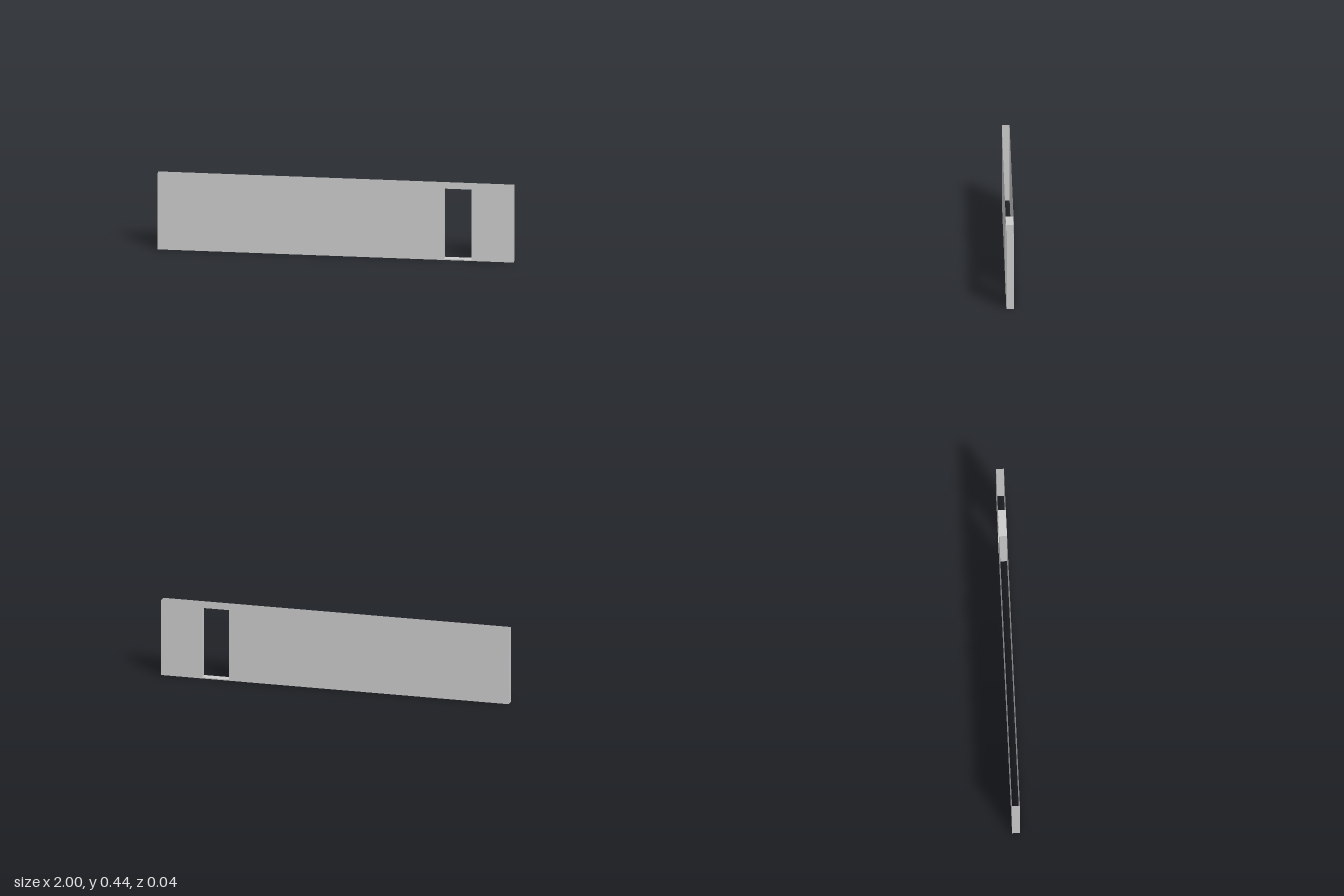
import * as THREE from 'three';

const HEIGHT = 0.44, HALF_DEPTH = 0.022;
const DOOR = { left: 0.61, right: 0.765, bottom: 0.006, top: 0.415 };

export function createModel() {
  const group = new THREE.Group();
  const material = new THREE.MeshStandardMaterial({ color: 0xcccccc, side: THREE.DoubleSide, flatShading: true });
  const add = (name, geometry) => {
    const mesh = new THREE.Mesh(geometry, material);
    mesh.name = name;
    group.add(mesh);
    return mesh;
  };

  // Wall outline with the doorway cut out
  const outline = new THREE.Shape([[-1, 0], [1, 0], [1, HEIGHT], [-1, HEIGHT]].map(p => new THREE.Vector2(...p)));
  outline.holes.push(new THREE.Path([
    [DOOR.left, DOOR.bottom], [DOOR.left, DOOR.top], [DOOR.right, DOOR.top], [DOOR.right, DOOR.bottom],
  ].map(p => new THREE.Vector2(...p))));

  // Two thin wall skins, hollow between and open at top and bottom
  add('frontPanel', new THREE.ShapeGeometry(outline)).position.z = HALF_DEPTH;
  const back = add('backPanel', new THREE.ShapeGeometry(outline).scale(-1, 1, 1));
  back.rotation.y = Math.PI;
  back.position.z = -HALF_DEPTH;
  // the mirrored outline needs its winding restored
  const index = back.geometry.index;
  for (let i = 0; i < index.count; i += 3) {
    const b = index.getX(i + 1);
    index.setX(i + 1, index.getX(i + 2));
    index.setX(i + 2, b);
  }
  back.geometry.computeVertexNormals();

  // Upright strips: wall ends and door jambs, facing +x or -x
  const upright = (name, x, y0, y1, facing) => {
    const strip = add(name, new THREE.PlaneGeometry(2 * HALF_DEPTH, y1 - y0));
    strip.rotation.y = facing * Math.PI / 2;
    strip.position.set(x, (y0 + y1) / 2, 0);
  };
  upright('leftEnd', 1, 0, HEIGHT, 1);
  upright('rightEnd', -1, 0, HEIGHT, -1);
  upright('leftJamb', DOOR.right, DOOR.bottom, DOOR.top, -1);
  upright('rightJamb', DOOR.left, DOOR.bottom, DOOR.top, 1);

  // Level strips: sill faces up, head faces down
  for (const [name, y, facing] of [['doorSill', DOOR.bottom, -1], ['doorHead', DOOR.top, 1]]) {
    const strip = add(name, new THREE.PlaneGeometry(DOOR.right - DOOR.left, 2 * HALF_DEPTH));
    strip.rotation.x = facing * Math.PI / 2;
    strip.position.set((DOOR.left + DOOR.right) / 2, y, 0);
  }
  return group;
}
